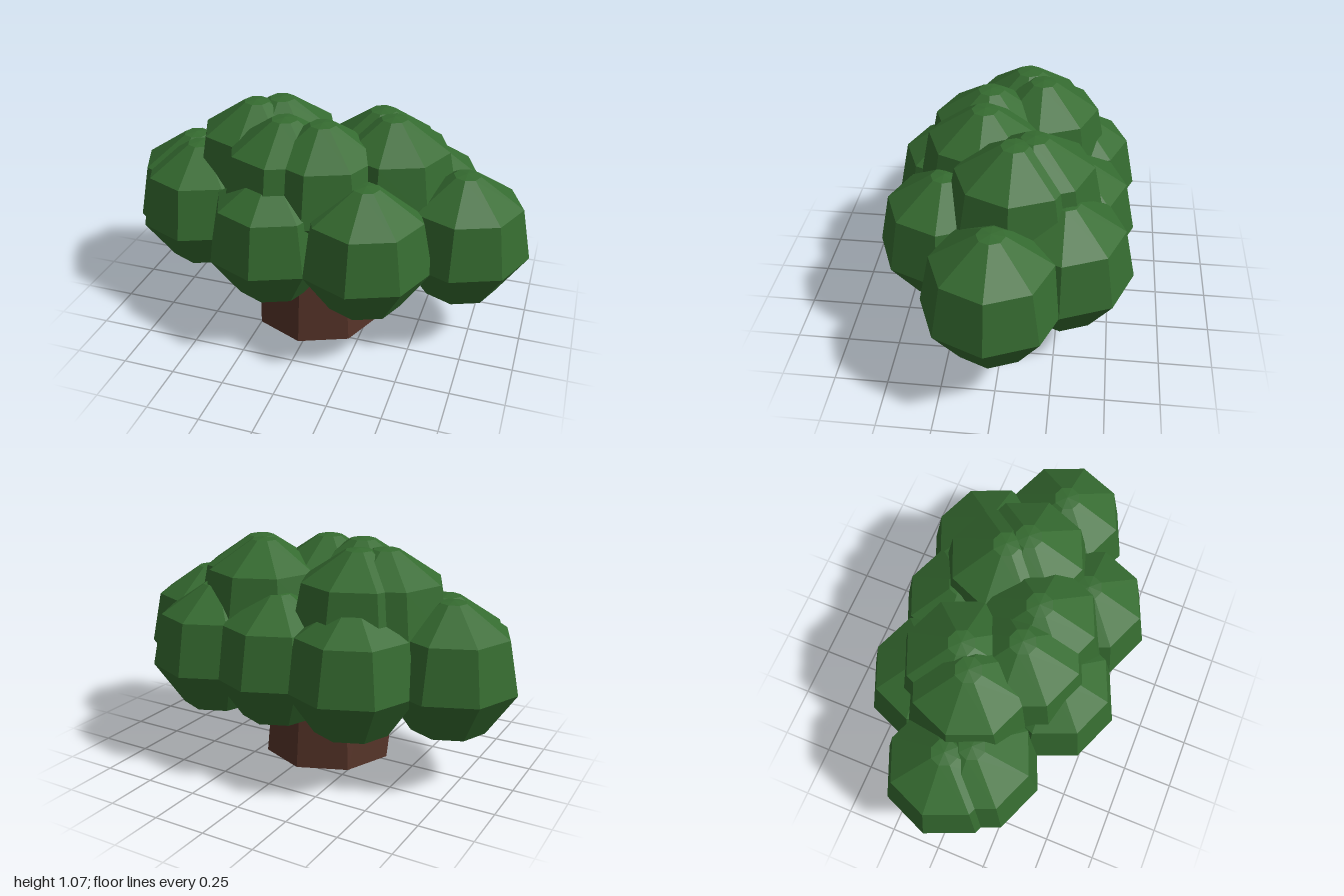
import * as THREE from 'three';

const leafMaterial = new THREE.MeshStandardMaterial({ color: 0x356b30, flatShading: true });
const barkMaterial = new THREE.MeshStandardMaterial({ color: 0x553328, flatShading: true });

// One leaf clump: an eight-sided faceted dome with a narrow cap
const clumpProfile = [
  [0, 0.215], [0.18, 0.267], [0.317, 0.475], [0.267, 0.72], [0.062, 0.855], [0, 0.863],
].map(([r, y]) => new THREE.Vector2(r, y));
const clumpGeometry = new THREE.LatheGeometry(clumpProfile, 8);

// Places a ring of clumps, given as [x, z], at one height
function clumpLayer(name, centres, lift) {
  const layer = new THREE.Group();
  layer.name = name;
  centres.forEach(([x, z], i) => {
    const clump = new THREE.Mesh(clumpGeometry, leafMaterial);
    clump.name = `${name}Clump${i + 1}`;
    clump.position.set(x, lift, z);
    layer.add(clump);
  });
  return layer;
}

export function createModel() {
  const tree = new THREE.Group();
  tree.name = 'tree';

  // Tapered eight-sided trunk, its top hidden in the leaves
  const trunk = new THREE.Mesh(new THREE.CylinderGeometry(0.27, 0.323, 0.55, 8), barkMaterial);
  trunk.name = 'trunk';
  trunk.position.set(-0.022, 0.275, 0.032);
  tree.add(trunk);

  // Wide lower ring of leaves
  tree.add(clumpLayer('lowerLeaves', [
    [0.68, 0.015], [0.28, 0.275], [-0.165, 0.275], [-0.615, 0.065],
    [-0.683, -0.035], [-0.315, -0.278], [0.075, -0.278], [0.425, -0.278],
  ], 0));

  // Tighter crown on top
  tree.add(clumpLayer('upperLeaves', [
    [0.32, -0.045], [0.03, 0.12], [-0.155, 0.115],
    [-0.358, -0.05], [-0.257, -0.125], [0.247, -0.125],
  ], 0.205));

  return tree;
}
